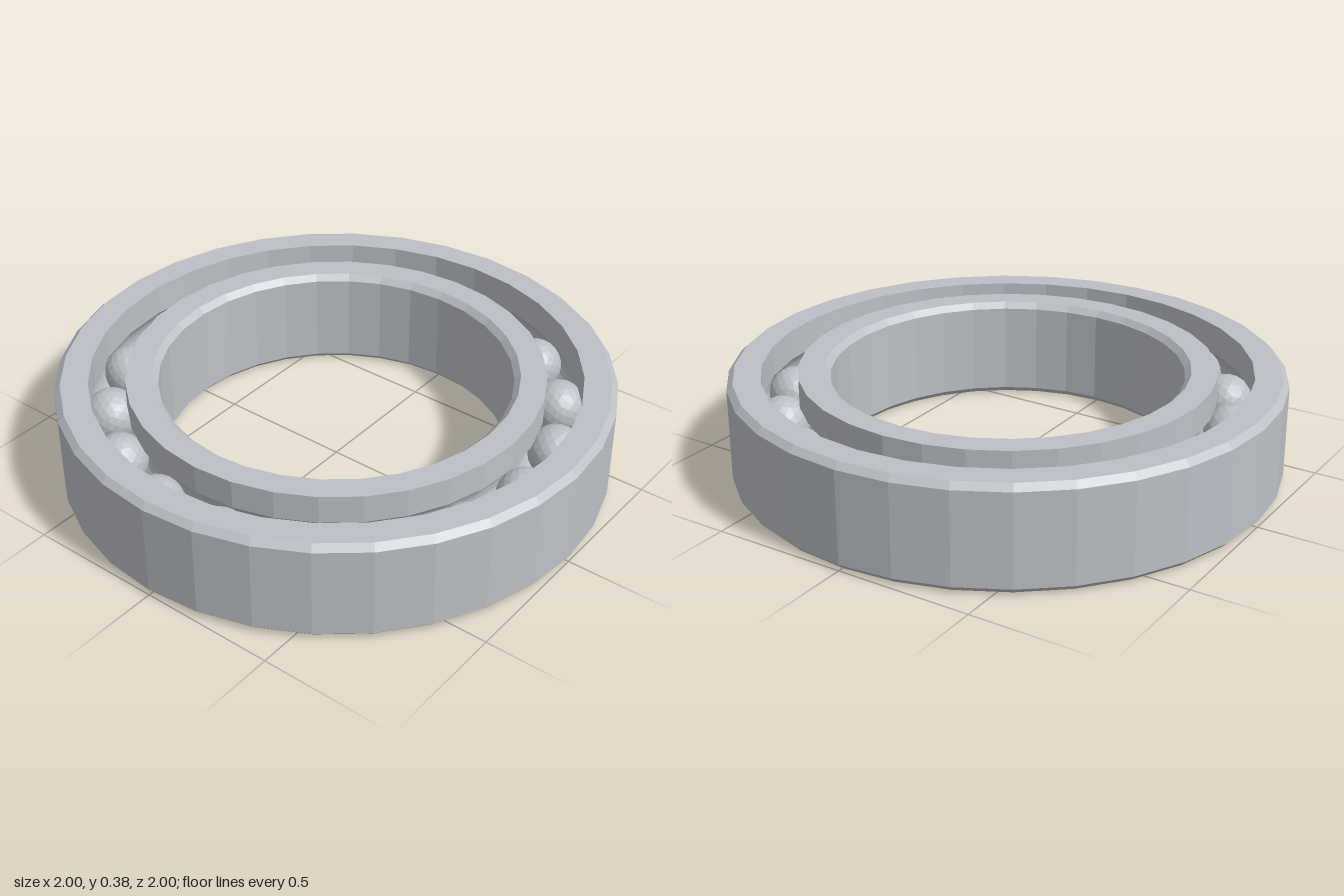
import * as THREE from 'three';

const SEGMENTS = 32;
const HEIGHT = 0.38;
const CHAMFER = 0.022;
const BALL_COUNT = 18;
const BALL_RADIUS = 0.1;
const PITCH_RADIUS = 0.81;
const GROOVE_RADIUS = 0.104;

// Arc of the ball groove between two angles around the ball centre
function groove(from, to, steps = 8) {
  const points = [];
  for (let i = 0; i <= steps; i++) {
    const t = from + ((to - from) * i) / steps;
    points.push([PITCH_RADIUS + GROOVE_RADIUS * Math.cos(t), HEIGHT / 2 + GROOVE_RADIUS * Math.sin(t)]);
  }
  return points;
}

// Closed profile (radius, height), anticlockwise, turned about the y axis
function ring(name, profile, material) {
  const points = [...profile, profile[0]].map(([r, y]) => new THREE.Vector2(r, y));
  const mesh = new THREE.Mesh(new THREE.LatheGeometry(points, SEGMENTS), material);
  mesh.name = name;
  return mesh;
}

export function createModel() {
  const group = new THREE.Group();
  group.name = 'ballBearing';
  const steel = new THREE.MeshStandardMaterial({ color: 0xbcc0c6, flatShading: true });
  steel.name = 'steel';

  // Outer ring: chamfered outside, grooved inside
  const outerWall = 0.88;
  const a = Math.acos((outerWall - PITCH_RADIUS) / GROOVE_RADIUS);
  group.add(ring('outerRing', [
    [outerWall, 0], [1 - CHAMFER, 0], [1, CHAMFER],
    [1, HEIGHT - CHAMFER], [1 - CHAMFER, HEIGHT], [outerWall, HEIGHT],
    ...groove(a, -a),
  ], steel));

  // Inner ring: grooved outside, chamfered bore
  const innerWall = 0.75;
  const bore = 0.635;
  const b = Math.acos((PITCH_RADIUS - innerWall) / GROOVE_RADIUS);
  group.add(ring('innerRing', [
    [bore + CHAMFER, 0], [innerWall, 0],
    ...groove(Math.PI + b, Math.PI - b),
    [innerWall, HEIGHT], [bore + CHAMFER, HEIGHT],
    [bore, HEIGHT - CHAMFER], [bore, CHAMFER],
  ], steel));

  // Balls spaced evenly between the rings
  const balls = new THREE.Group();
  balls.name = 'balls';
  const ballGeometry = new THREE.IcosahedronGeometry(BALL_RADIUS, 3);
  for (let i = 0; i < BALL_COUNT; i++) {
    const angle = (i / BALL_COUNT) * Math.PI * 2;
    const ball = new THREE.Mesh(ballGeometry, steel);
    ball.name = 'ball';
    ball.position.set(PITCH_RADIUS * Math.cos(angle), HEIGHT / 2, PITCH_RADIUS * Math.sin(angle));
    ball.rotation.y = -angle;
    balls.add(ball);
  }
  group.add(balls);
  return group;
}
